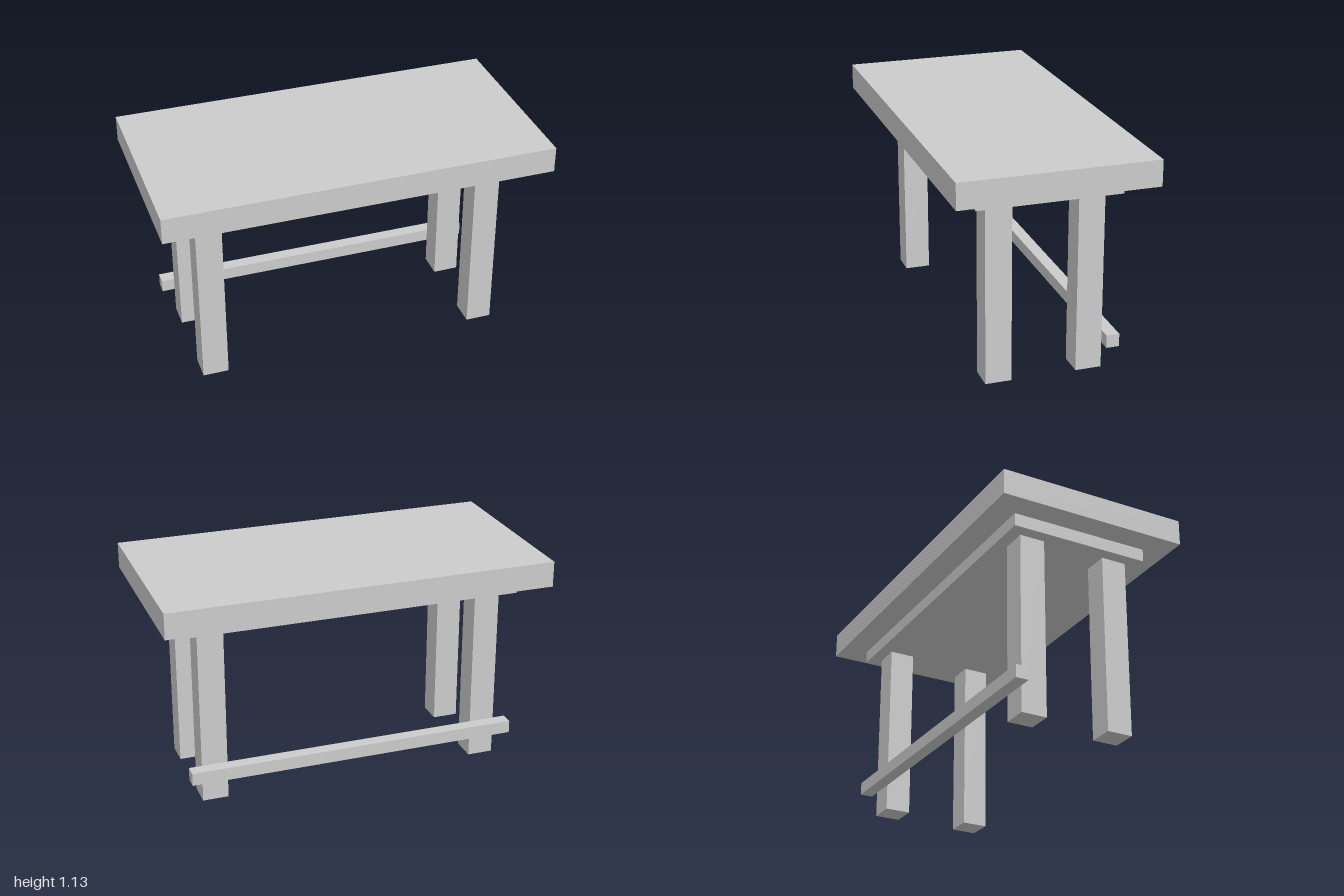
import * as THREE from 'three';

const U = 1 / 15; // base module of the table's proportions

export function createModel() {
  const table = new THREE.Group();
  table.name = 'table';
  const material = new THREE.MeshStandardMaterial({ color: 0xcccccc, flatShading: true });

  // Box sized in modules, placed by the centre of its underside
  function addBox(name, [w, h, d], [x, y, z]) {
    const mesh = new THREE.Mesh(new THREE.BoxGeometry(w * U, h * U, d * U), material);
    mesh.name = name;
    mesh.position.set(x * U, (y + h / 2) * U, z * U);
    table.add(mesh);
  }

  // Thick top on a smaller supporting slab
  addBox('tableTop', [30, 2, 15], [0, 15, 0]);
  addBox('underTopSlab', [26, 1, 11], [0, 14, 0]);

  // Four square legs
  for (const [side, x] of [['Left', 11], ['Right', -11]]) {
    for (const [end, z] of [['front', 3.5], ['back', -3.5]]) {
      addBox(`${end}${side}Leg`, [2, 14, 2], [x, 0, z]);
    }
  }

  // Rail fixed to the rear faces of the back legs
  addBox('backRail', [26, 1, 1], [0, 2, -5]);

  return table;
}
